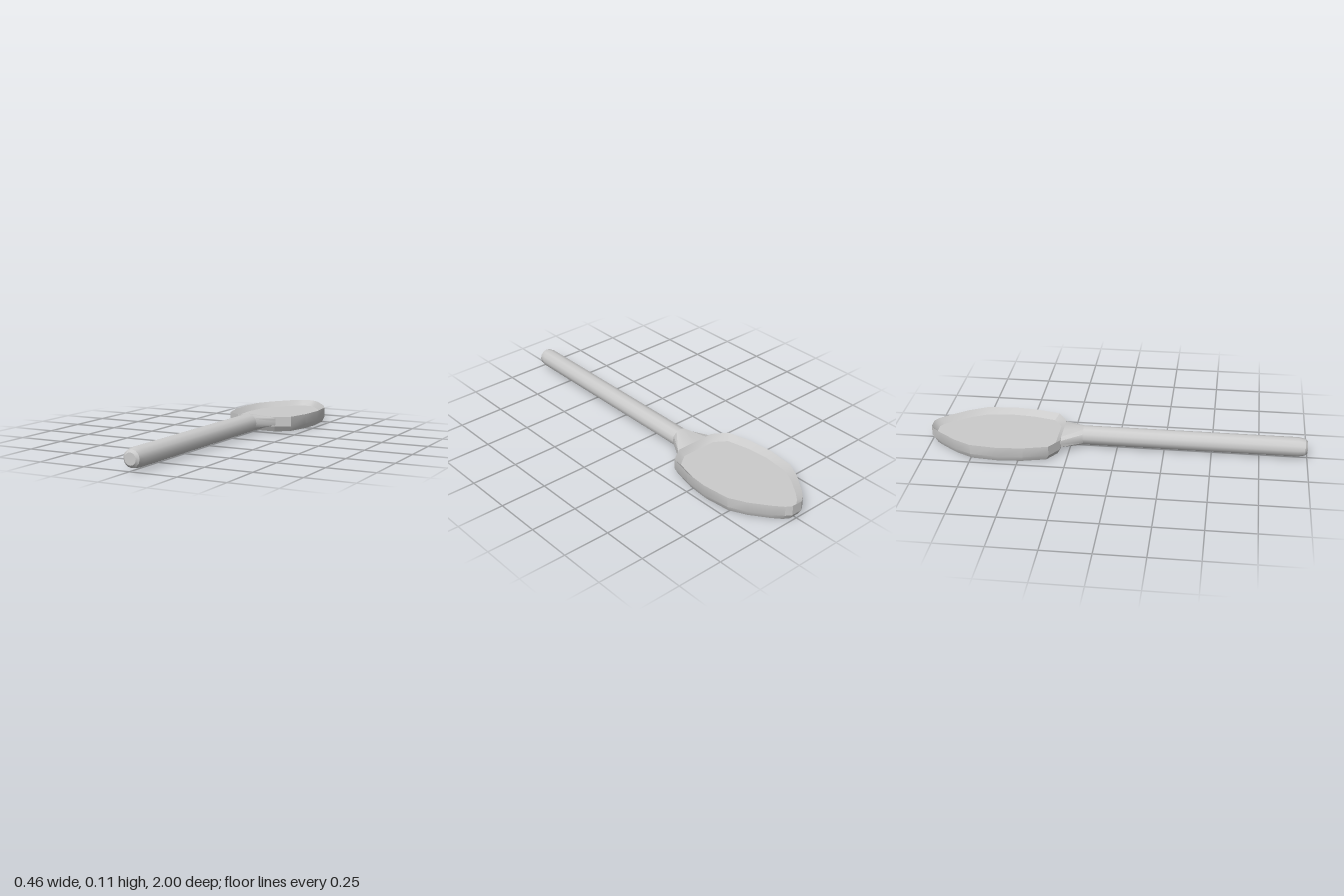
import * as THREE from 'three';
import { toCreasedNormals } from 'three/addons/utils/BufferGeometryUtils.js';

const material = new THREE.MeshStandardMaterial({ color: 0xcccccc });

// Skin a series of equal-length rings of [x, y, z], closing both ends with fans.
function loft(name, rings, crease) {
  const n = rings[0].length;
  const pos = [];
  const tri = (...corners) => corners.forEach((p) => pos.push(...p));
  const centre = (ring) => [0, 1, 2].map((k) => ring.reduce((s, p) => s + p[k], 0) / n);
  const first = rings[0];
  const last = rings[rings.length - 1];
  const c0 = centre(first);
  const c1 = centre(last);
  for (let j = 0; j < n; j++) {
    const k = (j + 1) % n;
    tri(c0, first[j], first[k]);
    tri(c1, last[k], last[j]);
    for (let i = 0; i < rings.length - 1; i++) {
      const a = rings[i];
      const b = rings[i + 1];
      tri(a[j], b[j], a[k]);
      tri(a[k], b[j], b[k]);
    }
  }
  const geometry = new THREE.BufferGeometry();
  geometry.setAttribute('position', new THREE.Float32BufferAttribute(pos, 3));
  const mesh = new THREE.Mesh(toCreasedNormals(geometry, crease), material);
  mesh.name = name;
  return mesh;
}

const SIDES = 12;
const AXIS_X = 0.005;
const angles = Array.from({ length: SIDES }, (_, j) => (j / SIDES) * Math.PI * 2);
const circle = (r, z) => angles.map((a) => [AXIS_X + r * Math.cos(a), 0.059 + r * Math.sin(a), z]);

// Flat, nearly rectangular section where the neck meets the bowl.
function flatSection(w, h, y, z) {
  const clamp = (v) => Math.max(-1, Math.min(1, v * 1.4));
  return angles.map((a) => [AXIS_X + w * clamp(Math.cos(a)), y + h * clamp(Math.sin(a)), z]);
}

// Half of the bowl outline from neck to tip as [x, z], then mirrored.
const half = [
  [0.113, -0.29], [0.188, -0.34], [0.22, -0.47], [0.231, -0.6], [0.216, -0.75],
  [0.17, -0.84], [0.1, -0.935], [0.06, -0.98], [0.03, -1],
];
const outline = [...half, ...half.map(([x, z]) => [-x, z]).reverse()];
const bowlRing = (y, sx, sz) => outline.map(([x, z]) => [x * sx, y, -0.63 + (z + 0.63) * sz]);

export function createModel() {
  const group = new THREE.Group();
  group.name = 'spoon';

  // Handle with a rounded butt
  group.add(loft('handle', [
    circle(0.031, 1), circle(0.044, 0.988), circle(0.051, 0.95), circle(0.051, -0.18),
  ], 0.62));

  // Neck flaring from the round handle to the bowl
  group.add(loft('neck', [circle(0.051, -0.18), flatSection(0.113, 0.026, 0.057, -0.29)], 0.62));

  // Shallow bowl: floor, sloped inside, rim, wall, bevelled underside
  group.add(loft('bowl', [
    bowlRing(0.052, 0.88, 0.92),
    bowlRing(0.083, 1, 1),
    bowlRing(0.03, 1, 1),
    bowlRing(0, 0.935, 0.95),
  ], 0.5));

  return group;
}
